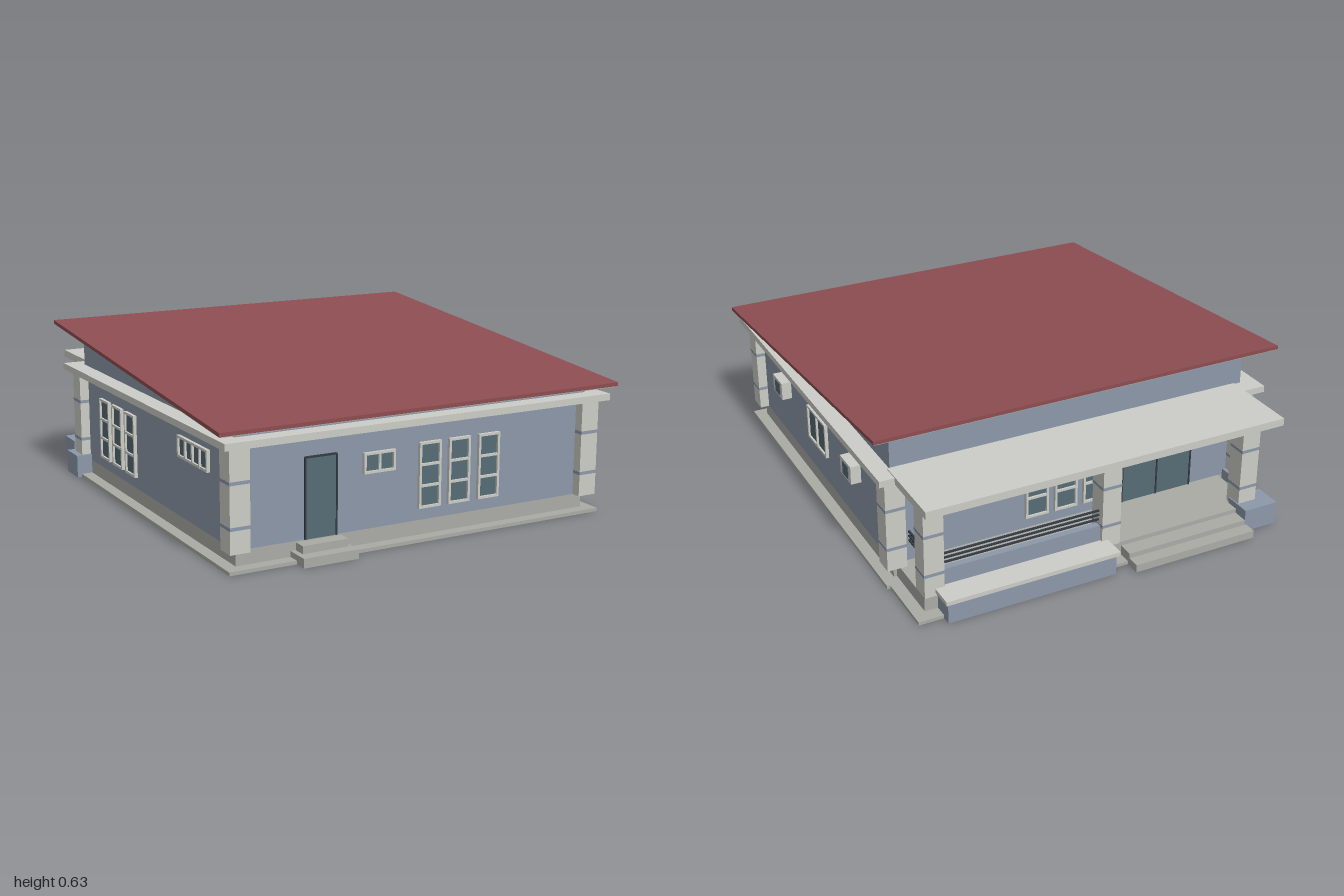
import * as THREE from 'three';

const flat = (name, color) => {
  const m = new THREE.MeshStandardMaterial({ color });
  m.name = name;
  return m;
};

export function createModel() {
  const wall = flat('blue wall', 0x8c98a9);
  const trim = flat('light trim', 0xcdcdc8);
  const stone = flat('grey stone', 0xababa6);
  const red = flat('red roof', 0x8e4e52);
  const glass = flat('dark glass', 0x566b75);
  const metal = flat('dark metal', 0x343b43);

  const model = new THREE.Group();
  const house = new THREE.Group();
  house.name = 'house';
  house.rotation.y = -0.142;
  model.add(house);

  const add = (name, geo, mat, parent = house) => {
    const mesh = new THREE.Mesh(geo, mat);
    mesh.name = name;
    parent.add(mesh);
    return mesh;
  };
  // box given by its limits on each axis
  const block = (name, mat, x0, x1, y0, y1, z0, z1, parent = house) => {
    const m = add(name, new THREE.BoxGeometry(x1 - x0, y1 - y0, z1 - z0), mat, parent);
    m.position.set((x0 + x1) / 2, (y0 + y1) / 2, (z0 + z1) / 2);
    return m;
  };
  // side outline of [z, y] points swept from x0 to x1
  const prism = (name, mat, x0, x1, pts) => {
    const shape = new THREE.Shape(pts.map(([z, y]) => new THREE.Vector2(z, y)));
    const geo = new THREE.ExtrudeGeometry(shape, { depth: x1 - x0, bevelEnabled: false });
    geo.rotateY(-Math.PI / 2).translate(x1, 0, 0);
    return add(name, geo, mat);
  };

  const L = -0.712, R = 0.732, F = 0.805, B = -0.579;
  const roofTop = z => 0.497 + (0.883 - z) * 0.0855;

  // ground slab and plinth
  block('groundSlab', stone, L - 0.045, R + 0.045, 0, 0.013, B - 0.045, F + 0.045);
  block('porchSlab', stone, L + 0.03, 0.765, 0, 0.0128, -0.87, B);
  block('plinth', stone, L, R, 0.012, 0.067, B, F);
  block('porchFloor', stone, -0.64, 0.72, 0.012, 0.067, -0.82, B);

  // walls rising to the sloping roof
  prism('walls', wall, L, R, [
    [F, 0.067], [F, roofTop(F) - 0.018], [B, roofTop(B) - 0.018], [B, 0.067]]);

  // single pitch roof with a grey soffit
  const roofSlab = (name, mat, inset, from, to) => prism(name, mat, -0.803 + inset, 0.823 - inset,
    [[0.883 - inset, from], [0.883 - inset, to], [-0.673 + inset, from], [-0.673 + inset, to]]
      .map(([z, d]) => [z, roofTop(z) - d])
      .map((p, i, a) => a[[0, 1, 3, 2][i]]));
  roofSlab('roof', red, 0, 0, 0.014);
  roofSlab('soffit', stone, 0.004, 0.0135, 0.018);

  // eave band and porch canopy
  block('eaveBand', trim, L - 0.066, R + 0.066, 0.43, 0.455, B - 0.066, F + 0.066);
  block('porchCanopy', trim, -0.684, 0.741, 0.43, 0.459, -0.898, B);
  block('porchCeiling', wall, -0.655, 0.712, 0.426, 0.4305, -0.87, B);

  // columns with thin blue bands
  const W = 0.075;
  const column = (name, x, z) => {
    const g = new THREE.Group();
    g.name = name;
    house.add(g);
    block('shaft', trim, x, x + W, 0.067, 0.43, z, z + W, g);
    for (const y of [0.155, 0.31])
      block('band', wall, x - 0.001, x + W + 0.001, y - 0.006, y + 0.006, z - 0.001, z + W + 0.001, g);
  };
  for (const x of [L - 0.037, R + 0.037 - W])
    for (const z of [B - 0.037, F + 0.037 - W]) column('cornerColumn', x, z);
  for (const x of [-0.64, -0.05, 0.72 - W]) column('porchColumn', x, -0.825);

  // pedestals beside the porch entrance
  block('porchPedestal', wall, -0.70, -0.56, 0, 0.09, -0.88, -0.77);
  block('cornerPedestal', wall, -0.775, -0.66, 0, 0.09, -0.645, -0.53);

  // porch steps, back and side
  block('lowerStep', stone, -0.567, -0.06, 0, 0.03, -0.93, -0.8);
  block('upperStep', stone, -0.56, -0.06, 0.03, 0.05, -0.88, -0.8);
  block('lowerSideStep', stone, -0.717, -0.6, 0, 0.03, -0.77, -0.645);
  block('upperSideStep', stone, -0.68, -0.6, 0.03, 0.05, -0.77, -0.645);

  // planter, parapet and railing on the closed half of the porch
  block('planter', wall, 0.01, 0.67, 0, 0.08, -0.905, -0.82);
  block('planterLedge', trim, 0, 0.68, 0.08, 0.096, -0.915, -0.815);
  block('parapet', wall, 0.025, 0.645, 0.067, 0.155, -0.81, -0.785);
  for (const y of [0.175, 0.193, 0.211]) {
    block('backRail', metal, 0.025, 0.645, y - 0.003, y + 0.003, -0.801, -0.794);
    block('sideRail', metal, 0.68, 0.687, y - 0.003, y + 0.003, -0.75, -0.616);
  }

  // windows: glass and frame bars on a chosen face; s is the position along it
  const faces = {
    front: [0, s => [s, F]],
    back: [Math.PI, s => [s, B]],
    right: [Math.PI / 2, s => [R, s]],
    left: [-Math.PI / 2, s => [L, s]],
  };
  const onFace = (name, face, s, y) => {
    const g = new THREE.Group(), [turn, at] = faces[face], [x, z] = at(s);
    g.name = name;
    g.rotation.y = turn;
    g.position.set(x, y, z);
    house.add(g);
    return g;
  };
  const windowUnit = (face, s0, s1, y0, y1, cols, rows, mat = trim) => {
    const g = onFace('window', face, (s0 + s1) / 2, (y0 + y1) / 2);
    const w = (s1 - s0) / 2, h = (y1 - y0) / 2, t = 0.0045;
    block('glass', glass, -w, w, -h, h, 0, 0.005, g);
    for (let i = 0; i <= cols; i++) {
      const x = -w + 2 * w * i / cols;
      block('upright', mat, x - t, x + t, -h - t, h + t, 0, 0.013, g);
    }
    for (let i = 0; i <= rows; i++) {
      const y = -h + 2 * h * i / rows;
      block('crossbar', mat, -w, w, y - t, y + t, 0, 0.0125, g);
    }
  };
  const door = (face, s0, s1, leaves) => {
    const g = onFace('door', face, (s0 + s1) / 2, 0.067);
    const w = (s1 - s0) / 2, h = 0.288;
    block('leaf', glass, -w, w, 0, h, 0, 0.006, g);
    for (let i = 0; i <= leaves; i++) {
      const x = -w + 2 * w * i / leaves;
      block('jamb', metal, x - 0.003, x + 0.003, 0, h, 0, 0.009, g);
    }
    block('lintel', metal, -w, w, h - 0.003, h + 0.003, 0, 0.009, g);
  };

  // front: door with steps, small window, three tall windows
  door('front', -0.451, -0.33, 1);
  block('frontLowerStep', stone, -0.505, -0.293, 0, 0.034, F, F + 0.095);
  block('frontUpperStep', stone, -0.485, -0.308, 0.034, 0.062, F, F + 0.05);
  windowUnit('front', -0.22, -0.102, 0.272, 0.338, 2, 1);
  for (const x of [0.006, 0.13, 0.257]) windowUnit('front', x, x + 0.082, 0.116, 0.348, 1, 3);

  // right side: sliding window between two projecting window boxes
  windowUnit('right', 0.04, 0.227, 0.19, 0.322, 2, 1);
  for (const z of [0.495, -0.248]) {
    const g = onFace('windowBox', 'right', z, 0.29);
    block('box', trim, -0.052, 0.052, -0.036, 0.036, 0, 0.04, g);
    block('pane', glass, -0.025, 0.03, -0.026, 0.026, 0.04, 0.042, g);
  }

  // left side: three tall windows and a long high one
  for (const z of [-0.39, -0.26, -0.13]) windowUnit('left', z, z + 0.088, 0.116, 0.348, 1, 3);
  windowUnit('left', 0.37, 0.61, 0.295, 0.365, 4, 1);

  // back wall under the porch
  door('back', -0.5, -0.2, 2);
  for (const x of [-0.12, 0, 0.12]) windowUnit('back', x, x + 0.085, 0.116, 0.348, 1, 3);

  return model;
}
